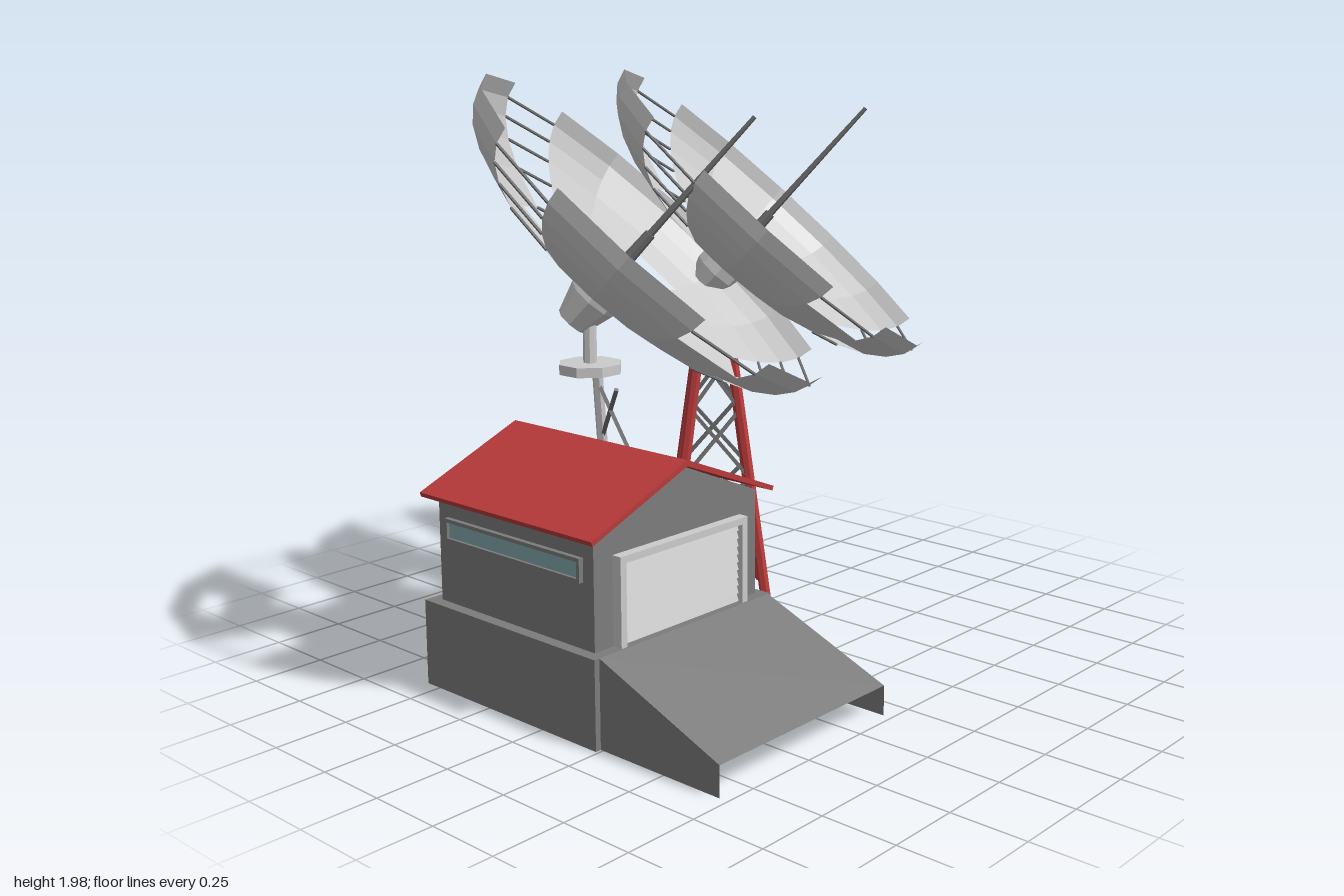
import * as THREE from 'three';

const mat = (color, side = THREE.FrontSide) =>
  new THREE.MeshStandardMaterial({ color, side, flatShading: true });
const light = mat(0xcccccc), shell = mat(0xcccccc, THREE.DoubleSide);
const stone = mat(0x7c7c7c), stoneThin = mat(0x7c7c7c, THREE.DoubleSide);
const steel = mat(0x707070), red = mat(0xb93a3a), glass = mat(0x84a9ad);
const V = (x, y, z) => new THREE.Vector3(x, y, z);

function add(parent, name, geometry, material, x = 0, y = 0, z = 0) {
  const m = new THREE.Mesh(geometry, material);
  m.name = name;
  m.position.set(x, y, z);
  parent.add(m);
  return m;
}

// Box given by its lower and upper corners
function box(parent, name, material, [x0, y0, z0], [x1, y1, z1]) {
  return add(parent, name, new THREE.BoxGeometry(x1 - x0, y1 - y0, z1 - z0), material,
    (x0 + x1) / 2, (y0 + y1) / 2, (z0 + z1) / 2);
}

// Straight bar between two points
function bar(parent, name, a, b, r0, r1, material, sides = 6) {
  const m = add(parent, name, new THREE.CylinderGeometry(r1, r0, a.distanceTo(b), sides), material);
  m.position.copy(a).lerp(b, 0.5);
  m.quaternion.setFromUnitVectors(V(0, 1, 0), b.clone().sub(a).normalize());
  return m;
}

// Surface from a list of quads, each with four corners
function quads(list) {
  const p = [];
  for (const [a, b, c, d] of list) for (const v of [a, b, c, a, c, d]) p.push(v.x, v.y, v.z);
  const g = new THREE.BufferGeometry();
  g.setAttribute('position', new THREE.Float32BufferAttribute(p, 3));
  g.computeVertexNormals();
  return g;
}

// Profile of (z, y) points extruded along x
function alongX(points, x0, x1) {
  const s = new THREE.Shape(points.map(([z, y]) => new THREE.Vector2(z, y)));
  return new THREE.ExtrudeGeometry(s, { depth: x1 - x0, bevelEnabled: false })
    .rotateY(-Math.PI / 2).translate(x1, 0, 0);
}

function createBuilding() {
  const g = new THREE.Group();
  g.name = 'building';

  // Hollow foundation
  const square = h => [[-h, -h], [h, -h], [h, h], [-h, h]].map(p => new THREE.Vector2(...p));
  const plan = new THREE.Shape(square(0.4));
  plan.holes.push(new THREE.Path(square(0.31).reverse()));
  add(g, 'foundation', new THREE.ExtrudeGeometry(plan, { depth: 0.29, bevelEnabled: false })
    .rotateX(-Math.PI / 2), stone, -0.16, 0, 0.48);

  // Ramp, open at its low end and below
  const [z0, z1] = [0.09, 0.86];
  const side = z => [V(0.24, 0, z), V(0.72, 0, z), V(0.72, 0.1, z), V(0.24, 0.29, z)];
  add(g, 'ramp', quads([side(z1), side(z0).reverse(),
    [V(0.24, 0.29, z1), V(0.72, 0.1, z1), V(0.72, 0.1, z0), V(0.24, 0.29, z0)]]), stoneThin);

  // Gabled walls and roof
  add(g, 'walls', alongX([[0.11, 0.29], [0.84, 0.29], [0.84, 0.645], [0.475, 0.8], [0.11, 0.645]],
    -0.52, 0.2), stone);
  add(g, 'roof', alongX([[0.07, 0.64], [0.475, 0.802], [0.88, 0.64], [0.885, 0.655],
    [0.475, 0.822], [0.065, 0.655]], -0.56, 0.24), red);

  // Framed strip window on both long walls
  for (const [z, d] of [[0.84, 1], [0.11, -1]]) {
    const frame = (n, x, y, w, h) =>
      add(g, n, new THREE.BoxGeometry(w, h, 0.03), stone, x, y, z + d * 0.002);
    frame('windowFrame', -0.16, 0.573, 0.63, 0.012);
    frame('windowFrame', -0.16, 0.508, 0.63, 0.012);
    for (const x of [-0.469, 0.149]) frame('windowFrame', x, 0.54, 0.012, 0.06);
    add(g, 'window', new THREE.BoxGeometry(0.61, 0.056, 0.01), glass, -0.16, 0.54, z + d * 0.002);
  }

  // Slatted door with a projecting frame
  for (const z of [0.2, 0.75]) box(g, 'doorFrame', light, [0.19, 0.29, z - 0.012], [0.235, 0.575, z + 0.012]);
  box(g, 'doorFrame', light, [0.19, 0.555, 0.188], [0.235, 0.578, 0.762]);
  for (let i = 0; i < 10; i++) {
    const slat = add(g, 'doorSlat', new THREE.BoxGeometry(0.012, 0.028, 0.53), light,
      0.208, 0.304 + i * 0.0265, 0.475);
    slat.rotation.z = 0.35;
  }
  return g;
}

// Foot point on a splayed tower leg
const legPoint = (angle, y) => {
  const r = THREE.MathUtils.mapLinear(y, 0.08, 1.05, 0.255, 0.075);
  return V(r * Math.cos(angle), y, r * Math.sin(angle));
};

function crossBrace(parent, a0, a1, y0, y1) {
  bar(parent, 'brace', legPoint(a0, y0), legPoint(a1, y1), 0.009, 0.009, steel, 4);
  bar(parent, 'brace', legPoint(a1, y0), legPoint(a0, y1), 0.009, 0.009, steel, 4);
}

// Dish shell with missing panels bridged by thin rods
function createDish() {
  const g = new THREE.Group();
  g.name = 'dish';
  const R = 0.708, depth = 0.27, sides = 16;
  const rings = [0, 15, 30, 45, 57, 68, 79, 90].map(THREE.MathUtils.degToRad);
  const point = (i, k) => {
    const a = i * 2 * Math.PI / sides, r = R * Math.sin(rings[k]);
    return V(r * Math.cos(a), r * Math.sin(a), -depth * Math.cos(rings[k]));
  };
  // Gaps: segment, first missing ring, last missing ring
  const gaps = [[2, 1, 6], [3, 1, 1], [4, 3, 3], [6, 2, 6], [9, 5, 6], [10, 2, 3], [12, 3, 6], [15, 2, 2]];
  const panels = [];
  for (let i = 0; i < sides; i++) for (let k = 0; k < rings.length - 1; k++)
    if (!gaps.some(([s, a, b]) => s === i && k >= a && k <= b))
      panels.push([point(i, k), point(i, k + 1), point(i + 1, k + 1), point(i + 1, k)]);
  add(g, 'dishShell', quads(panels), shell);
  for (const [s, a, b] of gaps)
    for (let k = a + 1; k <= b; k++)
      bar(g, 'gapRod', point(s, k), point(s + 1, k), 0.005, 0.005, steel, 4);

  // Feed antenna and the pivot behind the bowl
  bar(g, 'antennaBase', V(0, 0, -0.27), V(0, 0, -0.03), 0.024, 0.018, steel, 8);
  bar(g, 'antennaRod', V(0, 0, -0.03), V(0, 0, 0.46), 0.012, 0.007, steel, 6);
  bar(g, 'pivotNeck', V(0, 0, -0.31), V(0, 0, -0.255), 0.085, 0.085, light, 8);
  bar(g, 'pivotHousing', V(0, 0, -0.41), V(0, 0, -0.31), 0.055, 0.085, light, 8);

  const n = V(0.524, 0.745, -0.414).normalize();
  const u = V(0, 1, 0).cross(n).normalize();
  g.quaternion.setFromRotationMatrix(new THREE.Matrix4().makeBasis(u, n.clone().cross(u), n));
  g.position.set(0.165, 1.51, -0.14);
  return g;
}

// Dish with its platform and post
function createAntenna(name, x, z, plateMaterial) {
  const g = new THREE.Group();
  g.name = name;
  g.position.set(x, 0, z);
  add(g, 'platform', new THREE.CylinderGeometry(0.105, 0.105, 0.032, 8).rotateY(Math.PI / 8),
    plateMaterial, 0, 1.06, 0);
  add(g, 'post', new THREE.CylinderGeometry(0.022, 0.022, 0.2, 8), light, 0, 1.16, 0);
  g.add(createDish());
  return g;
}

export function createModel() {
  const model = new THREE.Group();
  model.name = 'radarStation';
  model.add(createBuilding());

  // Free-standing lattice tower
  const tower = createAntenna('towerAntenna', -0.28, -0.22, red);
  for (let i = 0; i < 4; i++) {
    const a = i * Math.PI / 2, b = a + Math.PI / 2;
    bar(tower, 'towerLeg', legPoint(a, 0.085), legPoint(a, 1.05), 0.019, 0.019, red, 6);
    for (const [y0, y1] of [[0.27, 0.56], [0.56, 0.8], [0.8, 1.0]]) crossBrace(tower, a, b, y0, y1);
  }
  model.add(tower);

  // Damaged mast rising through the roof
  const mast = createAntenna('roofAntenna', -0.17, 0.49, light);
  const a = THREE.MathUtils.degToRad(-120);
  bar(mast, 'mastLeg', legPoint(a, 0.72), legPoint(a, 1.05), 0.018, 0.018, light, 6);
  crossBrace(mast, a, a + Math.PI / 2, 0.8, 0.99);
  model.add(mast);
  return model;
}
